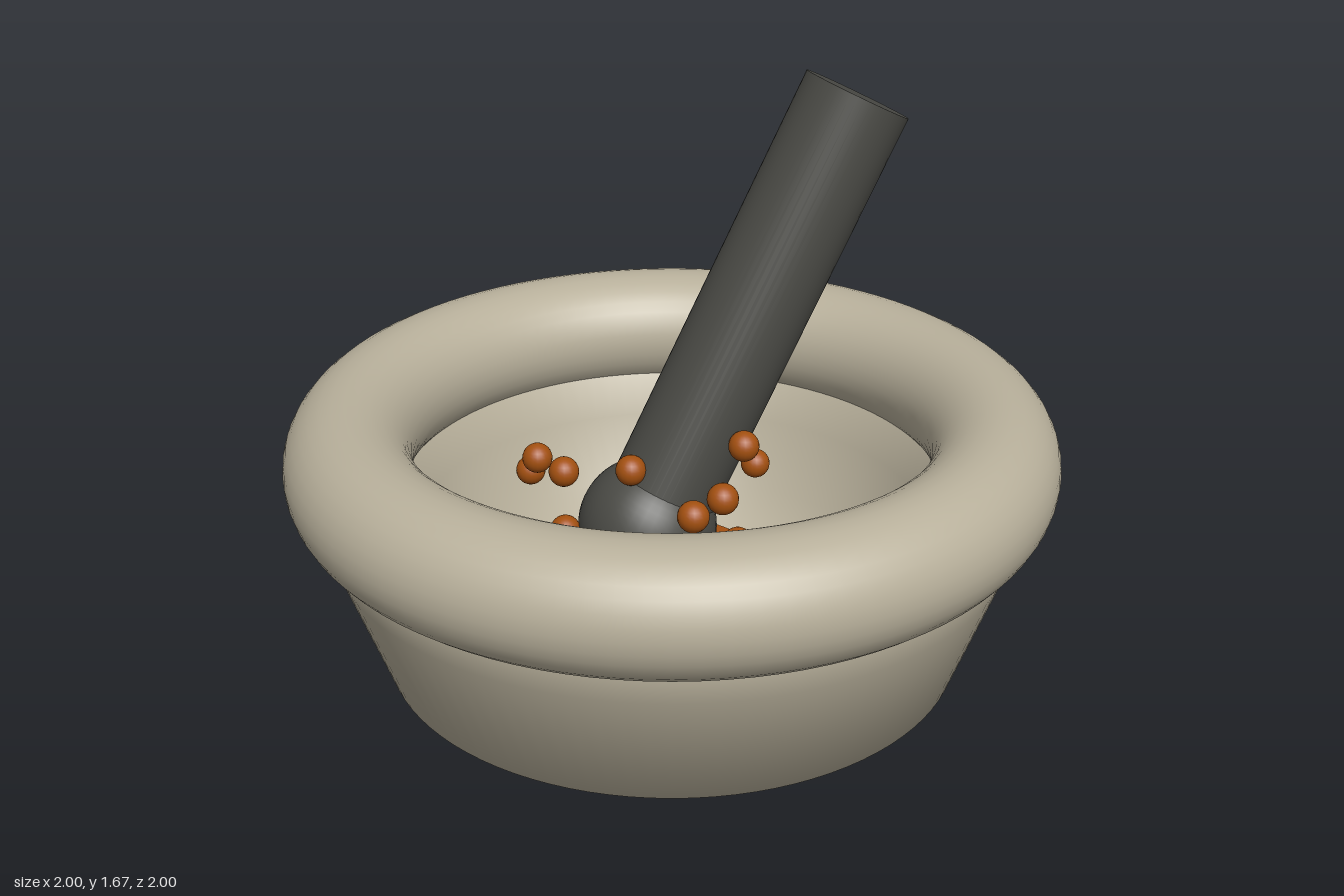
import * as THREE from 'three';

const material = (name, color) => {
  const m = new THREE.MeshStandardMaterial({ color });
  m.name = name;
  return m;
};

export function createModel() {
  const model = new THREE.Group();
  model.name = 'mortarAndPestle';

  const stone = material('paleStone', 0xb8b09b);
  const darkStone = material('darkStone', 0x4a4a45);
  const spice = material('orangeSpice', 0xa35010);

  const add = (name, geometry, mat, parent = model) => {
    const mesh = new THREE.Mesh(geometry, mat);
    mesh.name = name;
    parent.add(mesh);
    return mesh;
  };

  // Bowl: outer wall up to the rim, then the hollow inside
  const profile = [
    [0, 0], [0.46, 0.025], [0.765, 0.155], [0.89, 0.5], [0.92, 0.63], [0.84, 0.72],
    [0.72, 0.66], [0.68, 0.5], [0.6, 0.32], [0.51, 0.19], [0.3, 0.12], [0, 0.1],
  ].map(([r, y]) => new THREE.Vector2(r, y));
  add('bowl', new THREE.LatheGeometry(profile, 96), stone);

  // Thick rounded rim
  const rim = add('rim', new THREE.TorusGeometry(0.835, 0.165, 32, 96), stone);
  rim.rotation.x = Math.PI / 2;
  rim.position.y = 0.72;

  // Heap of ground spice with a flat top
  const heap = add('spiceHeap', new THREE.CylinderGeometry(0.22, 0.51, 0.2, 64), spice);
  heap.position.y = 0.29;

  // Pestle leaning to the side: round head at the group's origin, handle along its y axis
  const pestle = new THREE.Group();
  pestle.name = 'pestle';
  pestle.position.set(-0.07, 0.5, 0);
  pestle.rotation.z = -0.48;
  model.add(pestle);
  add('pestleHead', new THREE.SphereGeometry(0.183, 40, 28), darkStone, pestle);
  const handle = add('pestleHandle', new THREE.CylinderGeometry(0.142, 0.142, 1.245, 48), darkStone, pestle);
  handle.position.y = 0.6225;

  // Scattered peppercorns
  const grains = new THREE.Group();
  grains.name = 'peppercorns';
  model.add(grains);
  const grainShape = new THREE.SphereGeometry(0.04, 20, 14);
  [
    [-0.28, 0.55, -0.33], [-0.31, 0.66, -0.18], [-0.28, 0.5, -0.055], [-0.27, 0.655, -0.085],
    [0.01, 0.62, -0.15], [0.11, 0.578, -0.19], [0.195, 0.575, -0.21], [0.295, 0.578, -0.2],
    [0.32, 0.53, -0.17], [-0.135, 0.695, 0.05], [0.11, 0.5, 0.18], [0.13, 0.766, 0.165],
    [0.085, 0.5, 0.26], [-0.01, 0.73, 0.35], [-0.155, 0.46, 0.39], [-0.11, 0.725, 0.4],
  ].forEach((p, i) => add(`peppercorn${i + 1}`, grainShape, spice, grains).position.set(...p));

  return model;
}
